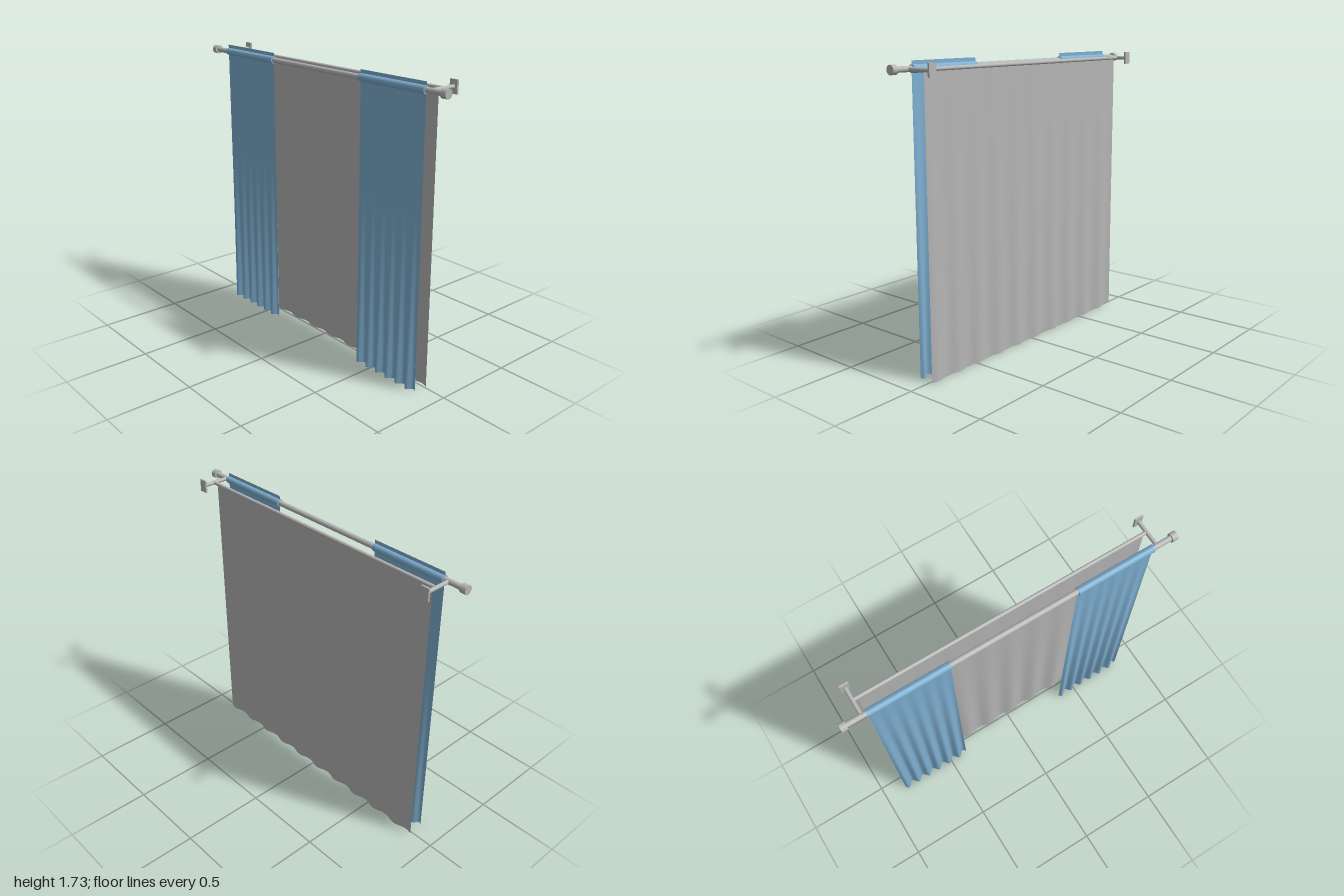
import * as THREE from 'three';

const ROD_Y = 1.69, ROD_Z = 0.077, SHEER_Z = -0.017;

export function createModel() {
  const group = new THREE.Group();
  const metal = new THREE.MeshStandardMaterial({ color: 0xb8b8b8 });
  metal.name = 'greyMetal';
  const sheerCloth = new THREE.MeshStandardMaterial({ color: 0xb6b6b6, side: THREE.DoubleSide });
  sheerCloth.name = 'greySheerCloth';
  const blueCloth = new THREE.MeshStandardMaterial({ color: 0x7fb0d2, side: THREE.DoubleSide });
  blueCloth.name = 'blueCloth';

  function add(name, geometry, material, x, y, z) {
    const mesh = new THREE.Mesh(geometry, material);
    mesh.name = name;
    mesh.position.set(x, y, z);
    group.add(mesh);
    return mesh;
  }

  // Horizontal cylinder along x
  const bar = (name, radius, length, material, x, y, z) =>
    add(name, new THREE.CylinderGeometry(radius, radius, length, 16).rotateZ(Math.PI / 2), material, x, y, z);

  // Hanging cloth whose folds deepen from the flat top edge to the hem
  function drape(name, width, height, waves, depth, material, x, z) {
    const geometry = new THREE.PlaneGeometry(width, height, waves * 12, 12);
    geometry.translate(0, height / 2, 0);
    const p = geometry.attributes.position;
    for (let i = 0; i < p.count; i++) {
      const t = p.getX(i) / width + 0.5;
      p.setZ(i, depth * (1 - p.getY(i) / height) * Math.sin(t * waves * Math.PI * 2));
    }
    geometry.computeVertexNormals();
    return add(name, geometry, material, x, 0, z);
  }

  // Rods
  bar('frontRod', 0.016, 1.94, metal, 0, ROD_Y, ROD_Z);
  bar('sheerRod', 0.011, 1.74, metal, 0, ROD_Y, SHEER_Z - 0.002);

  // Back sheer
  drape('sheerCurtain', 1.71, ROD_Y, 10, 0.01, sheerCloth, 0, SHEER_Z + 0.004);

  for (const [side, s] of [['left', 1], ['right', -1]]) {
    // Rod end cap
    bar(side + 'Finial', 0.026, 0.035, metal, s * 0.9825, ROD_Y, ROD_Z);

    // Wall bracket
    const arm = new THREE.CylinderGeometry(0.0115, 0.0115, 0.17, 12).rotateX(Math.PI / 2);
    add(side + 'BracketArm', arm, metal, s * 0.88, ROD_Y, -0.009);
    add(side + 'WallPlate', new THREE.BoxGeometry(0.05, 0.075, 0.011), metal, s * 0.88, ROD_Y, -0.0975);

    // Blue panel with its header, and the sleeve around the rod
    drape(side + 'Curtain', 0.475, 1.732, 6, 0.0165, blueCloth, s * 0.6175, ROD_Z);
    bar(side + 'RodSleeve', 0.022, 0.475, blueCloth, s * 0.6175, ROD_Y, ROD_Z);
  }
  return group;
}
